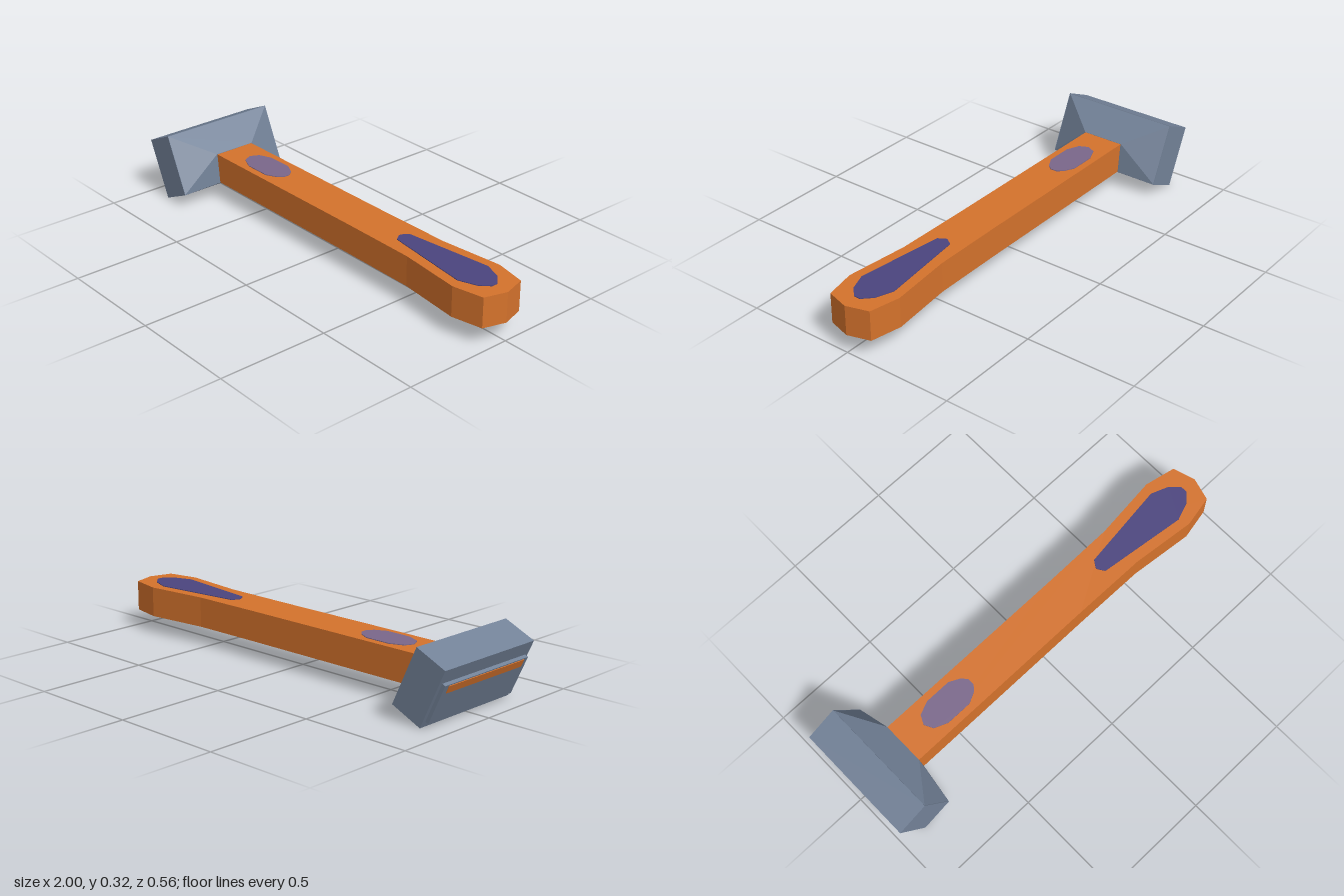
import * as THREE from 'three';
import { ConvexGeometry } from 'three/addons/geometries/ConvexGeometry.js';

const mat = (name, color) => new THREE.MeshStandardMaterial({ name, color });

export function createModel() {
  const group = new THREE.Group();
  const orange = mat('orange', 0xd4722c);
  const steel = mat('blue grey', 0x728197);
  const purple = mat('dark purple', 0x4b447e);
  const mauve = mat('mauve', 0x7a678a);

  const add = (name, geometry, material) => {
    const mesh = new THREE.Mesh(geometry, material);
    mesh.name = name;
    group.add(mesh);
  };

  // Side profile in x,y, extruded symmetrically along z
  const sidePrism = (points, halfWidth) => {
    const shape = new THREE.Shape(points.map(([x, y]) => new THREE.Vector2(x, y)));
    return new THREE.ExtrudeGeometry(shape, { depth: halfWidth * 2, bevelEnabled: false })
      .translate(0, 0, -halfWidth);
  };

  // Half outline in x,z, mirrored across z = 0 and extruded upwards
  const topPrism = (half, y, height) => {
    const other = half.filter(p => p[1] !== 0).map(([x, z]) => [x, -z]).reverse();
    const shape = new THREE.Shape([...half, ...other].map(([x, z]) => new THREE.Vector2(x, z)));
    return new THREE.ExtrudeGeometry(shape, { depth: height, bevelEnabled: false })
      .rotateX(-Math.PI / 2).translate(0, y, 0);
  };

  // Handle with a flared end
  add('handle', topPrism([[-0.735, 0.097], [0.2, 0.097], [0.54, 0.1], [0.83, 0.131],
    [0.97, 0.102], [1, 0]], 0.082, 0.136), orange);

  // Inlays on top of the handle
  add('gripInlay', topPrism([[0.39, 0.005], [0.41, 0.035], [0.81, 0.085], [0.89, 0.055],
    [0.93, 0.015]], 0.216, 0.005), purple);
  add('thumbInlay', topPrism([[-0.62, 0], [-0.6, 0.04], [-0.54, 0.065], [-0.42, 0.065],
    [-0.37, 0.04], [-0.35, 0.015]], 0.216, 0.005), mauve);

  // Tilted head: t runs down the working face, n points out of it
  const at = (t, n) => [-1 + 0.415 * t - 0.91 * n, 0.253 - 0.91 * t - 0.415 * n];
  const slab = (t0, t1, n0, n1) => [at(t0, n0), at(t1, n0), at(t1, n1), at(t0, n1)];
  add('head', sidePrism(slab(0, 0.278, -0.154, 0), 0.278), steel);

  // Neck narrowing from the head to the handle
  const neck = [];
  for (const s of [-1, 1]) {
    for (const t of [0, 0.278]) neck.push(new THREE.Vector3(...at(t, -0.153), s * 0.278));
    neck.push(new THREE.Vector3(-0.735, 0.219, s * 0.099));
    neck.push(new THREE.Vector3(-0.72, 0.081, s * 0.099));
  }
  add('neck', new ConvexGeometry(neck), steel);

  // Raised cartridge plate with a coloured strip
  add('cartridge', sidePrism(slab(0.065, 0.25, -0.005, 0.016), 0.26), steel);
  add('strip', sidePrism(slab(0.07, 0.105, 0.014, 0.019), 0.235), orange);

  return group;
}
